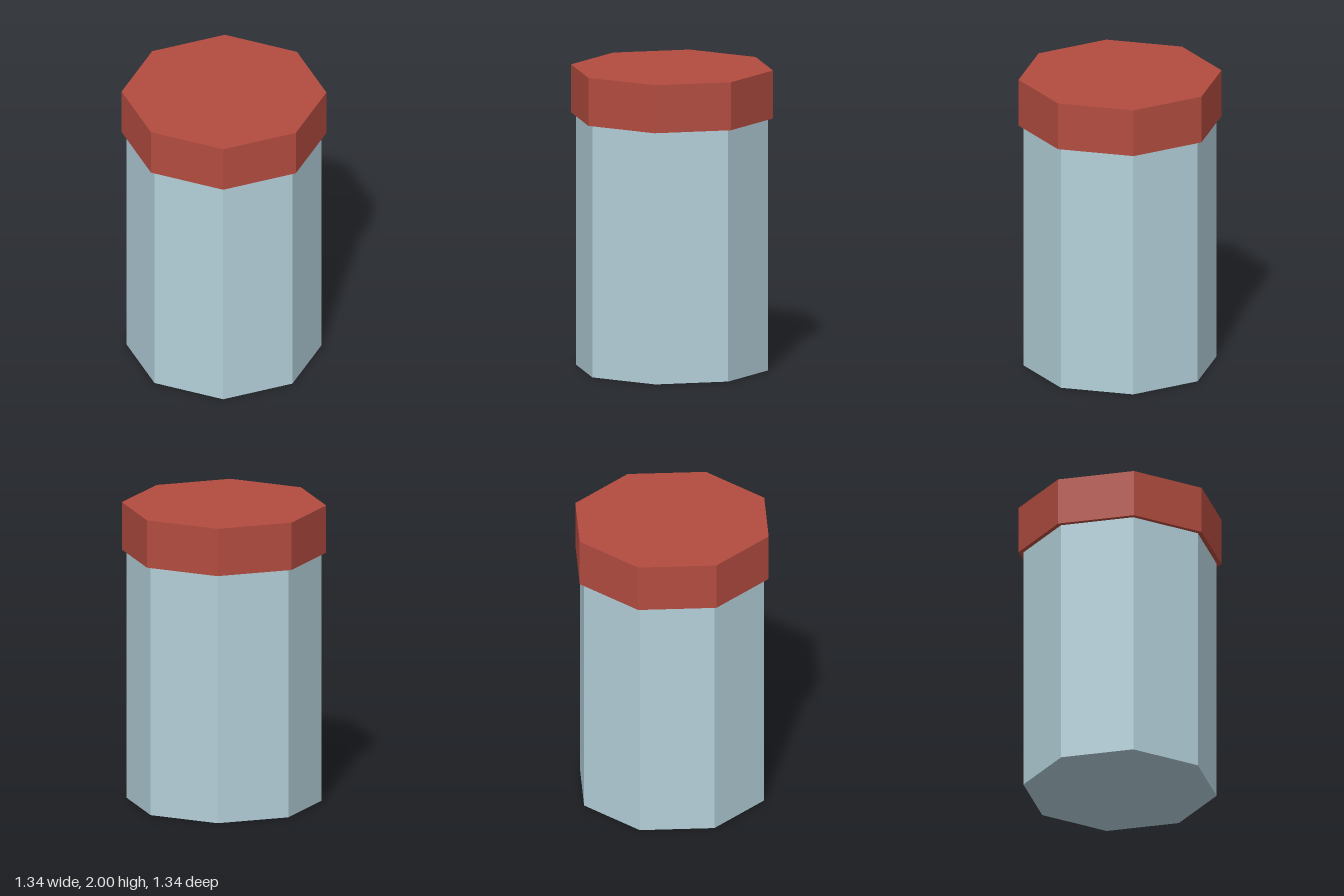
import * as THREE from 'three';

const SIDES = 8;

// Upright octagonal prism with a corner facing the front
function prism(name, radius, bottom, top, material) {
  const geometry = new THREE.CylinderGeometry(radius, radius, top - bottom, SIDES).toNonIndexed();
  geometry.computeVertexNormals(); // crisp flat facets
  const mesh = new THREE.Mesh(geometry, material);
  mesh.name = name;
  mesh.position.y = (bottom + top) / 2;
  return mesh;
}

function material(name, color) {
  const m = new THREE.MeshStandardMaterial({ color });
  m.name = name;
  return m;
}

export function createModel() {
  const group = new THREE.Group();
  group.name = 'lidded jar';
  const glass = material('pale blue', 0xb4d0da);
  const red = material('lid red', 0xb34c40);

  // Jar body, and the slightly wider lid resting on it
  group.add(prism('body', 0.64, 0, 1.68, glass));
  group.add(prism('lid', 0.672, 1.68, 2, red));
  return group;
}
